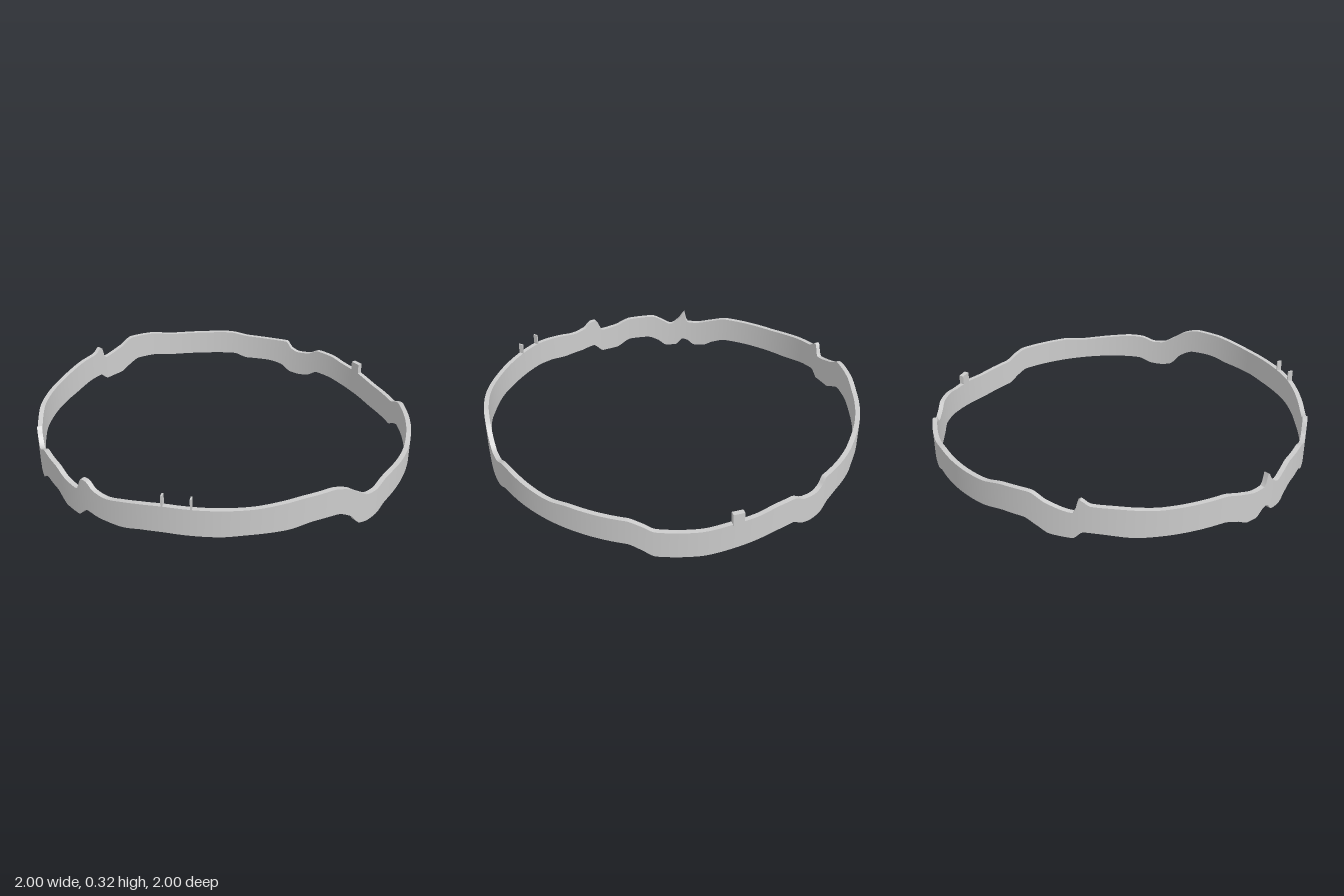
import * as THREE from 'three';
import { toCreasedNormals } from 'three/addons/utils/BufferGeometryUtils.js';

const OUTER = 1, INNER = 0.975, STEPS = 540;

// Edge heights around the ring: [degrees from front towards +x, height]
const TOP = [
  [0, .265], [8, .267], [18, .28], [24, .288], [31, .288], [36, .265], [41, .21], [45, .172], [48, .168],
  [53, .195], [57, .2], [64, .193], [74, .185], [82, .2], [98, .2], [102, .18], [106, .15],
  [117, .146], [127, .167], [134, .18], [140, .2], [145, .203], [149, .172], [153, .163], [156, .18],
  [158, .22], [163, .22], [172, .225], [180, .248], [188, .25], [201, .26], [209, .288], [217, .295],
  [222, .255], [229.5, .225], [231, .3], [234, .27], [240, .263], [247, .25], [253, .242], [270, .24],
  [276, .215], [282, .192], [285, .195], [286, .262], [288, .215], [291, .18], [294, .205],
  [298, .235], [306, .232], [312, .2], [317, .192], [319.5, .265], [321, .265], [324, .23],
  [328, .218], [334, .235], [340, .252], [347, .264]];
const BOTTOM = [
  [0, .122], [8, .13], [18, .132], [26, .148], [33, .142], [38, .1], [42, .03], [46, .017], [49, .02],
  [54, .052], [60, .058], [72, .062], [98, .065], [102, .04], [106, .005], [117, .002],
  [127, .022], [134, .04], [140, .056], [145, .06], [149, .025], [153, .013], [156, .018], [160, .06],
  [165, .075], [173, .077], [178, .105], [188, .11], [201, .122], [209, .145], [215, .148], [219, .12],
  [223, .088], [229, .085], [232, .125], [236, .122], [247, .1], [270, .095], [275, .07], [279, .038], [282, .036],
  [285, .07], [286.5, .075], [289, .034], [292.5, .03], [296, .07], [300, .095], [306, .095], [312, .05],
  [317, .048], [321, .1], [326, .09], [332, .09], [340, .112], [347, .122]];

// Periodic monotone cubic through [angle, height] points
function heightAt(pts, deg) {
  const n = pts.length;
  const at = i => {
    const turns = Math.floor(i / n), p = pts[i - turns * n];
    return [p[0] + turns * 360, p[1]];
  };
  const slope = i => (at(i + 1)[1] - at(i)[1]) / (at(i + 1)[0] - at(i)[0]);
  const tangent = i => {
    const a = slope(i - 1), b = slope(i);
    return a * b <= 0 ? 0 : 2 * a * b / (a + b);
  };
  let i = n - 1;
  while (pts[i][0] > deg) i--;
  const [x0, y0] = at(i), [x1, y1] = at(i + 1);
  const h = x1 - x0, t = (deg - x0) / h, t2 = t * t, t3 = t2 * t;
  return (2 * t3 - 3 * t2 + 1) * y0 + (t3 - 2 * t2 + t) * h * tangent(i)
    + (3 * t2 - 2 * t3) * y1 + (t3 - t2) * h * tangent(i + 1);
}

// Closed band: a four-cornered section swept round the circle
function bandGeometry() {
  const pos = [], index = [];
  for (let s = 0; s < STEPS; s++) {
    const deg = s * 360 / STEPS, a = THREE.MathUtils.degToRad(deg);
    const top = heightAt(TOP, deg), bottom = heightAt(BOTTOM, deg);
    for (const [r, y] of [[OUTER, bottom], [OUTER, top], [INNER, top], [INNER, bottom]]) {
      pos.push(r * Math.sin(a), y, r * Math.cos(a));
    }
    for (let k = 0; k < 4; k++) {
      const l = (k + 1) % 4, next = ((s + 1) % STEPS) * 4;
      const p = s * 4 + k, q = next + k, u = next + l, v = s * 4 + l;
      index.push(p, q, u, p, u, v);
    }
  }
  const geo = new THREE.BufferGeometry();
  geo.setAttribute('position', new THREE.Float32BufferAttribute(pos, 3));
  geo.setIndex(index);
  return toCreasedNormals(geo, 0.7);
}

export function createModel() {
  const group = new THREE.Group();
  const material = new THREE.MeshStandardMaterial({ color: 0xcccccc });
  const add = (name, geometry) => {
    const mesh = new THREE.Mesh(geometry, material);
    mesh.name = name;
    group.add(mesh);
    return mesh;
  };

  add('wavyBand', bandGeometry());

  // Small blocks standing on the upper edge
  const block = (name, deg, width, y0, y1) => {
    const mesh = add(name, new THREE.BoxGeometry(width, y1 - y0, 0.026));
    const a = THREE.MathUtils.degToRad(deg), r = (OUTER + INNER) / 2;
    mesh.position.set(r * Math.sin(a), (y0 + y1) / 2, r * Math.cos(a));
    mesh.rotation.y = a;
  };
  block('firstMarkerFin', -14.7, 0.008, 0.255, 0.32);
  block('secondMarkerFin', -6.9, 0.008, 0.255, 0.32);
  block('markerBlock', 128, 0.057, 0.16, 0.222);

  return group;
}
